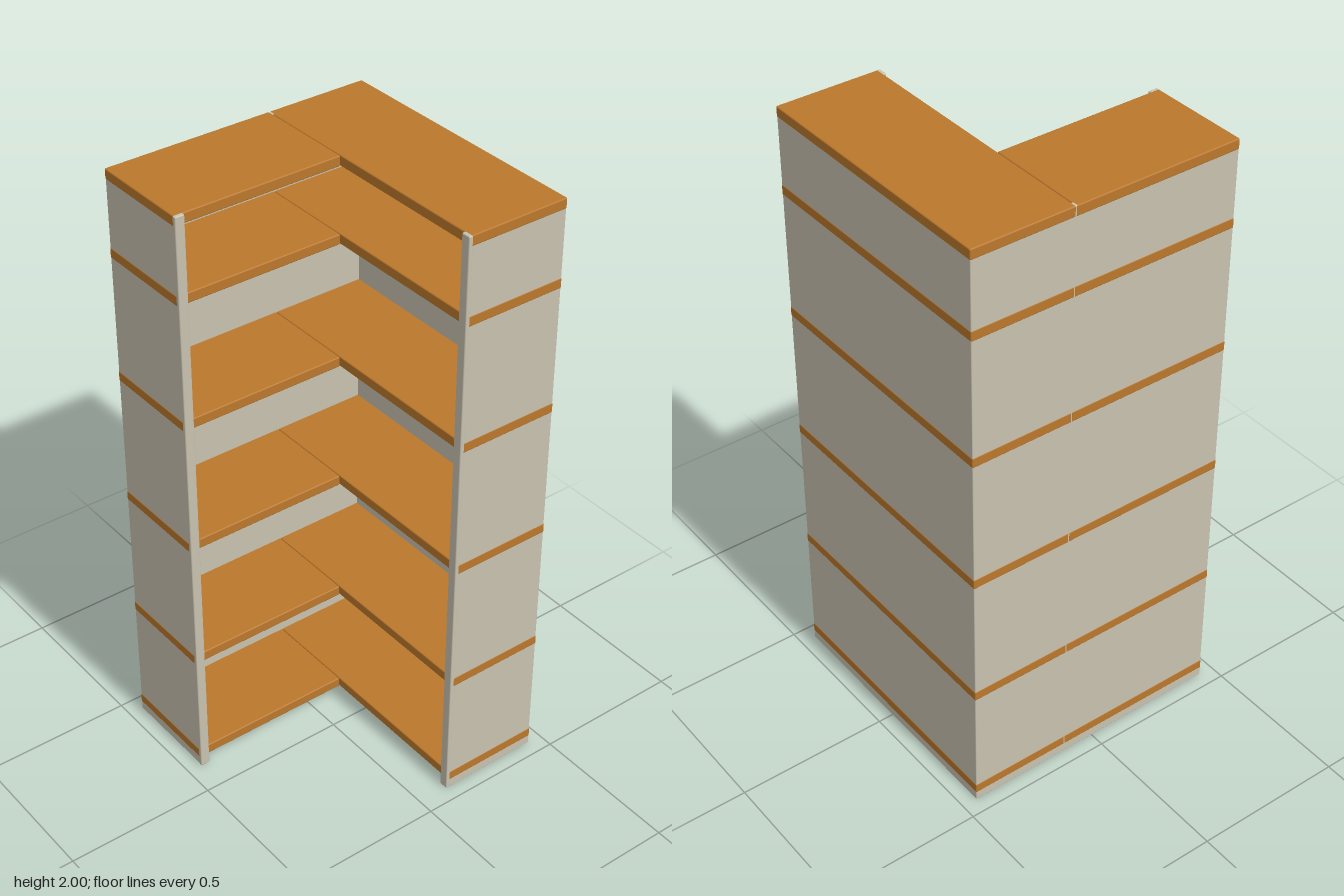
import * as THREE from 'three';
import { RoundedBoxGeometry } from 'three/addons/geometries/RoundedBoxGeometry.js';

export function createModel() {
  const group = new THREE.Group();
  const wood = new THREE.MeshStandardMaterial({ color: 0xbb782c });
  wood.name = 'warm wood';
  const paint = new THREE.MeshStandardMaterial({ color: 0xc9c2b0 });
  paint.name = 'cream paint';

  // Softly rounded board given by its limits on each axis
  function board(name, material, [x0, x1], [y0, y1], [z0, z1], radius) {
    const geometry = new RoundedBoxGeometry(x1 - x0, y1 - y0, z1 - z0, 2, radius);
    const mesh = new THREE.Mesh(geometry, material);
    mesh.position.set((x0 + x1) / 2, (y0 + y1) / 2, (z0 + z1) / 2);
    mesh.name = name;
    group.add(mesh);
  }

  const E = 0.45;      // outer half width
  const T = 0.02;      // panel thickness
  const A = -0.11;     // inner edge of both arms
  const S = E + 0.001; // shelf edges show through the panels
  const full = [0, 1.998];

  // Walls: back, side in two pieces, and the end of each arm
  board('backPanel', paint, [-E, E], full, [-E, -E + T], 0.003);
  board('sidePanelRear', paint, [-E, -E + T], full, [-E, A], 0.003);
  board('sidePanelFront', paint, [-E, -E + T], full, [A, E], 0.003);
  board('rearArmEndPanel', paint, [E - T, E], full, [-E, A], 0.003);
  board('frontArmEndPanel', paint, [-E, A], full, [E - T, E], 0.003);

  // Edge strips on the open ends and at the joint of the arms
  board('rearArmEdgeStrip', paint, [0.42, 0.452], [0, 2], [-0.117, -0.103], 0.004);
  board('frontArmEdgeStrip', paint, [-0.117, -0.103], [0, 2], [0.42, 0.452], 0.004);
  board('jointStrip', paint, [-E, -E + T], [0, 2], [-0.117, -0.105], 0.003);

  // L-shaped levels, each a rear and a front board
  for (const y of [0.047, 0.438, 0.877, 1.314, 1.732, 1.983]) {
    const height = [y - 0.017, y + 0.017];
    board('rearShelf', wood, [-S, S], height, [-S, -0.112], 0.004);
    board('frontShelf', wood, [-S, -0.112], height, [-0.111, S], 0.004);
  }
  return group;
}
